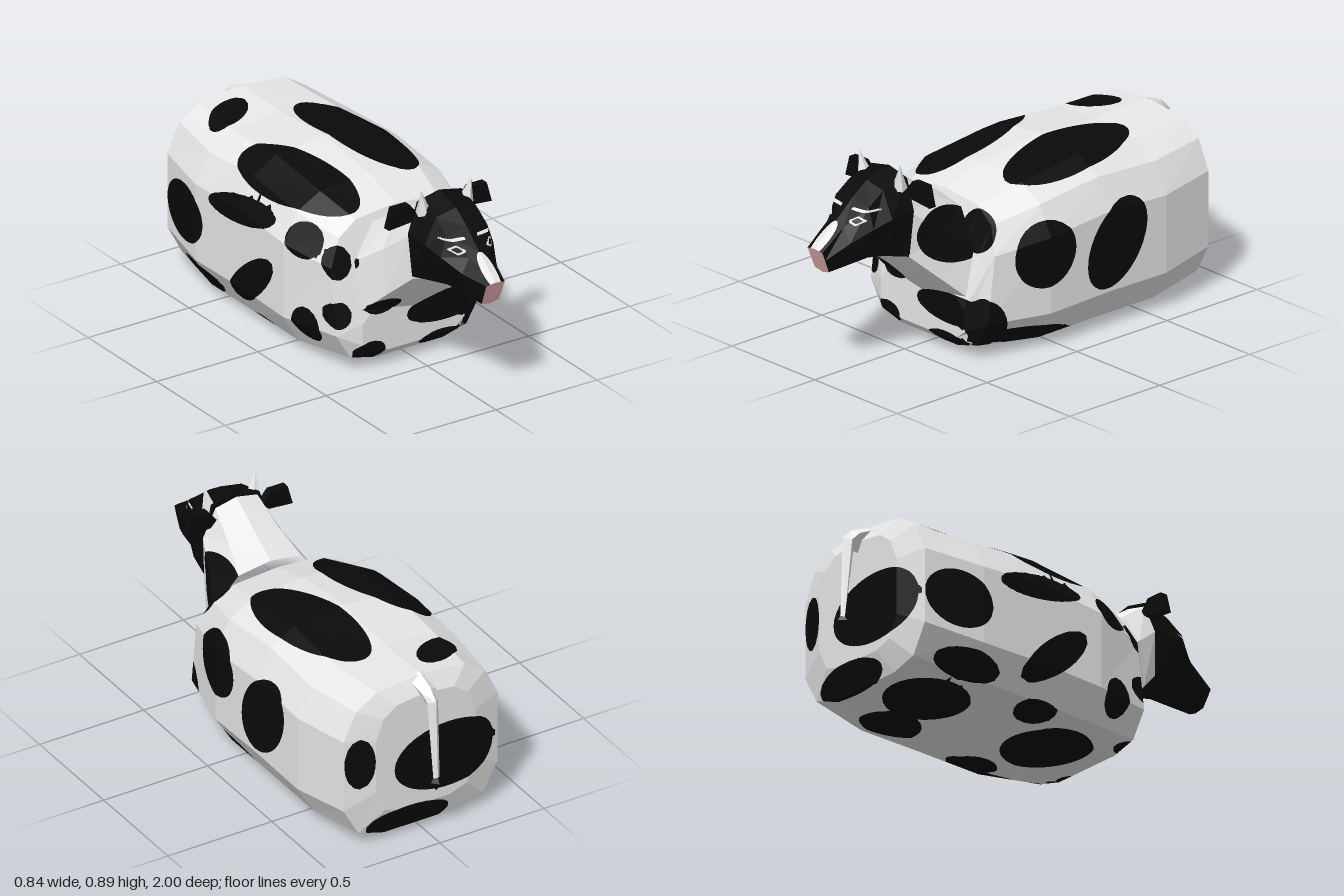
import * as THREE from 'three';

const mat = (name, color) => Object.assign(new THREE.MeshStandardMaterial({ color }), { name });

// Mirror a half section (top centre, down the +x side, bottom centre) into a closed ring
function ringOf(half) {
  const other = half.slice(1, -1).reverse().map(([x, y, z]) => [-x, y, z]);
  return [...half, ...other].map((p) => new THREE.Vector3(...p));
}

// Fan closing a ring; front fans face +z
function cap(ring, front) {
  const c = ring.reduce((s, p) => s.add(p), new THREE.Vector3()).divideScalar(ring.length);
  return ring.map((p, j) => {
    const q = ring[(j + 1) % ring.length];
    return front ? [c, q, p] : [c, p, q];
  });
}

// Skin between rings ordered from back to front
function skin(rings) {
  const tris = [];
  for (let i = 0; i < rings.length - 1; i++) {
    const r = rings[i], s = rings[i + 1], n = r.length;
    for (let j = 0; j < n; j++) {
      const k = (j + 1) % n;
      tris.push([r[j], s[j], s[k]], [r[j], s[k], r[k]]);
    }
  }
  return tris;
}

// Faceted geometry from lists of triangles, one material group per list
function facets(...lists) {
  const g = new THREE.BufferGeometry().setFromPoints(lists.flat(2));
  let start = 0;
  lists.forEach((l, i) => {
    g.addGroup(start, l.length * 3, i);
    start += l.length * 3;
  });
  g.computeVertexNormals();
  return g;
}

// Split triangles into plain and marked faces along the zero line of a field
function paint(tris, field, maxEdge) {
  const plain = [], marked = [];
  const clip = (t, f, sign, out) => {
    const poly = [];
    for (let i = 0; i < 3; i++) {
      const j = (i + 1) % 3;
      if (f[i] * sign >= 0) poly.push(t[i]);
      if (f[i] * f[j] < 0) poly.push(t[i].clone().lerp(t[j], f[i] / (f[i] - f[j])));
    }
    for (let i = 1; i < poly.length - 1; i++) out.push([poly[0], poly[i], poly[i + 1]]);
  };
  const stack = [...tris];
  while (stack.length) {
    const [a, b, c] = stack.pop();
    const d = [a.distanceTo(b), b.distanceTo(c), c.distanceTo(a)];
    const m = Math.max(...d);
    if (m > maxEdge) {
      const [p, q, r] = m === d[0] ? [a, b, c] : m === d[1] ? [b, c, a] : [c, a, b];
      const h = p.clone().add(q).multiplyScalar(0.5);
      stack.push([p, h, r], [h, q, r]);
      continue;
    }
    const t = [a, b, c], f = t.map((p) => field(p) || 1e-9);
    if (f.every((v) => v > 0)) plain.push(t);
    else if (f.every((v) => v < 0)) marked.push(t);
    else {
      clip(t, f, 1, plain);
      clip(t, f, -1, marked);
    }
  }
  return facets(plain, marked);
}

// Hide patches are ellipsoids sunk in the skin: centre, radii, slant along z
const ellipsoid = (x, y, z, rx, ry, rz, sx = 0, sy = 0) => (p) => {
  const dz = p.z - z;
  return Math.hypot((p.x - x - sx * dz) / rx, (p.y - y - sy * dz) / ry, dz / rz) - 1;
};
const topSpot = ([x, z, rx, rz, s]) => ellipsoid(x, 0.71, z, rx, 0.15, rz, s);
const bellySpot = ([x, z, r]) => ellipsoid(x, 0, z, r, 0.05, r);
const flankSpot = (side) => ([z, y, rz, ry, s]) => ellipsoid(side * 0.42, y, z, 0.14, ry, rz, 0, s);
const rumpSpot = ([x, y, rx, ry]) => ellipsoid(x, y, -0.89, rx, ry, 0.07);
const chestSpot = ([x, y, rx, ry]) => ellipsoid(x, y, 0.37, rx, ry, 0.12);
const spots = [
  ...[[-0.25, -0.07, 0.15, 0.35, 0.15], [0.16, -0.25, 0.145, 0.36, 0.1], [-0.17, -0.7, 0.1, 0.09, -0.6]].map(topSpot),
  ...[[0.085, 0.425, 0.155, 0.145, 0], [-0.3, 0.375, 0.165, 0.175, -0.4], [0.1, 0.05, 0.32, 0.06, 0.2]].map(flankSpot(1)),
  ...[[-0.69, 0.34, 0.17, 0.13, 0], [-0.175, 0.23, 0.17, 0.09, 0.7], [0.19, 0.16, 0.08, 0.09, 0],
    [-0.25, 0.52, 0.23, 0.06, 0.15], [0.16, 0.54, 0.1, 0.08, 0], [-0.62, 0.07, 0.2, 0.07, 0]].map(flankSpot(-1)),
  ...[[-0.11, 0.34, 0.26, 0.155], [0.31, 0.41, 0.07, 0.125], [0.08, 0.06, 0.22, 0.09]].map(rumpSpot),
  ...[[0.16, 0.2, 0.2, 0.07], [0.33, 0.15, 0.08, 0.13], [0.14, 0.06, 0.11, 0.035], [-0.21, 0.08, 0.075, 0.05],
    [-0.34, 0.26, 0.05, 0.06], [-0.33, 0.49, 0.08, 0.08], [-0.16, 0.3, 0.09, 0.06]].map(chestSpot),
  ...[[-0.08, 0.08, 0.2], [-0.11, -0.62, 0.19], [0.19, -0.56, 0.14], [0.27, -0.05, 0.12], [-0.33, -0.18, 0.12]].map(bellySpot),
  // neck patch
  ellipsoid(0.24, 0.56, 0.43, 0.14, 0.13, 0.18),
];
const hide = (p) => Math.min(...spots.map((spot) => spot(p)));

// Face markings: eye rims, brows and nose blaze
function face(p) {
  const x = Math.abs(p.x);
  const eye = Math.abs(x - 0.08) / 0.03 + Math.abs(p.y - 0.68) / 0.02;
  const rim = Math.max(eye - 1, 0.6 - eye);
  const brow = Math.max(Math.abs(x - 0.075) / 0.045, Math.abs(p.y - 0.717) / 0.005) - 1;
  const blaze = Math.hypot(x / 0.032, (p.y - 0.61) / 0.06) - 1;
  return Math.min(rim, brow, blaze);
}

// Eight-sided neck and head section: z at the top, lean, top, bottom, three half widths going down
const section = ([z, lean, top, bottom, ...widths]) => ringOf([0, ...widths, 0].map((w, i) => {
  const drop = [0, 0.06, 0.4, 0.9, 1][i] * (top - bottom);
  return [w, top - drop, z - lean * drop];
}));

export function createModel() {
  const white = mat('white hide', 0xf2f2f2);
  const black = mat('black hide', 0x0a0a0a);
  const pink = mat('pink muzzle', 0xf0b8b8);
  const cow = new THREE.Group();
  cow.name = 'cow';
  const add = (name, geo, material) => {
    const m = new THREE.Mesh(geo, material);
    m.name = name;
    cow.add(m);
    return m;
  };

  // Body: barrel sections given as z, half width, bottom, top, backward lean of the upper part
  const profile = [[0, 1], [0.57, 0.97], [0.84, 0.88], [1, 0.7], [1, 0.23], [0.81, 0.05], [0.48, 0], [0, 0]];
  const barrel = [
    [-0.89, 0.24, 0.14, 0.67, 0], [-0.85, 0.37, 0.03, 0.74, 0], [-0.57, 0.42, 0, 0.73, 0],
    [-0.25, 0.42, 0, 0.75, 0], [0.07, 0.42, 0, 0.71, 0], [0.36, 0.355, 0.03, 0.65, 0.18],
    [0.4, 0.25, 0.07, 0.28, 0],
  ].map(([z, w, lo, hi, lean]) => ringOf(profile.map(([x, y]) =>
    [x * w, lo + y * (hi - lo), z - lean * Math.max(0, y - 0.5)])));
  const body = [...cap(barrel[0], false), ...skin(barrel), ...cap(barrel[6], true)];
  add('body', paint(body, hide, 0.045), [white, black]);

  // Neck, rising from the chest to the head
  const neck = [
    [0.32, -0.19, 0.655, 0.235, 0.15, 0.26, 0.255],
    [0.45, -0.13, 0.73, 0.335, 0.12, 0.2, 0.2],
    [0.59, -0.05, 0.825, 0.44, 0.1, 0.155, 0.143],
  ].map(section);
  add('neck', paint(skin(neck), hide, 0.035), [white, black]);

  // Head, tapering to the muzzle
  const head = [
    [0.585, -0.06, 0.836, 0.45, 0.11, 0.16, 0.147],
    [0.71, 0, 0.805, 0.475, 0.1, 0.155, 0.13],
    [0.79, 0, 0.748, 0.485, 0.1, 0.13, 0.095],
    [0.88, 0, 0.67, 0.475, 0.05, 0.085, 0.07],
    [1, 0.4, 0.578, 0.465, 0.045, 0.045, 0.042],
  ].map(section);
  add('head', paint([...cap(head[0], false), ...skin(head)], face, 0.009), [black, white]);
  add('muzzle', facets(cap(head[4], true)), pink);

  for (const s of [1, -1]) {
    const side = s > 0 ? 'left' : 'right';
    // Horns: broad base with a slim upright tip
    const horn = new THREE.LatheGeometry(
      [[0.034, 0], [0.018, 0.05], [0, 0.115]].map(([r, y]) => new THREE.Vector2(r, y)), 5).toNonIndexed();
    horn.computeVertexNormals();
    const h = add(side + 'Horn', horn, white);
    h.position.set(s * 0.105, 0.775, 0.625);
    h.rotation.set(0.12, 0, -s * 0.17);

    // Ears: flat flaps widening outwards
    const flap = [[0.11, 0.76], [0.15, 0.81], [0.23, 0.81], [0.255, 0.72], [0.14, 0.73]];
    const shape = new THREE.Shape(flap.map(([x, y]) => new THREE.Vector2(s * x, y)));
    const ear = new THREE.ExtrudeGeometry(shape, { depth: 0.035, bevelEnabled: false });
    add(side + 'Ear', ear, black).position.z = 0.56;
  }

  // Tail: half width, then outer and inner y z, listed from the tip up to the arched root
  const tail = [
    [0.015, 0.3, -0.985, 0.3, -0.962], [0.026, 0.665, -0.972, 0.62, -0.915],
    [0.036, 0.71, -0.93, 0.62, -0.89], [0.055, 0.748, -0.84, 0.62, -0.84],
  ].map(([w, y, z, iy, iz]) => ringOf([[0, y, z], [w, y * 0.8 + iy * 0.2, (z + iz) / 2], [0, iy, iz]]));
  add('tail', facets([...cap(tail[0], false), ...skin(tail)]), white);

  // Tuft
  const tuft = add('tailTuft', new THREE.OctahedronGeometry(1), black);
  tuft.scale.set(0.027, 0.043, 0.027);
  tuft.position.set(0, 0.283, -0.973);

  return cow;
}
